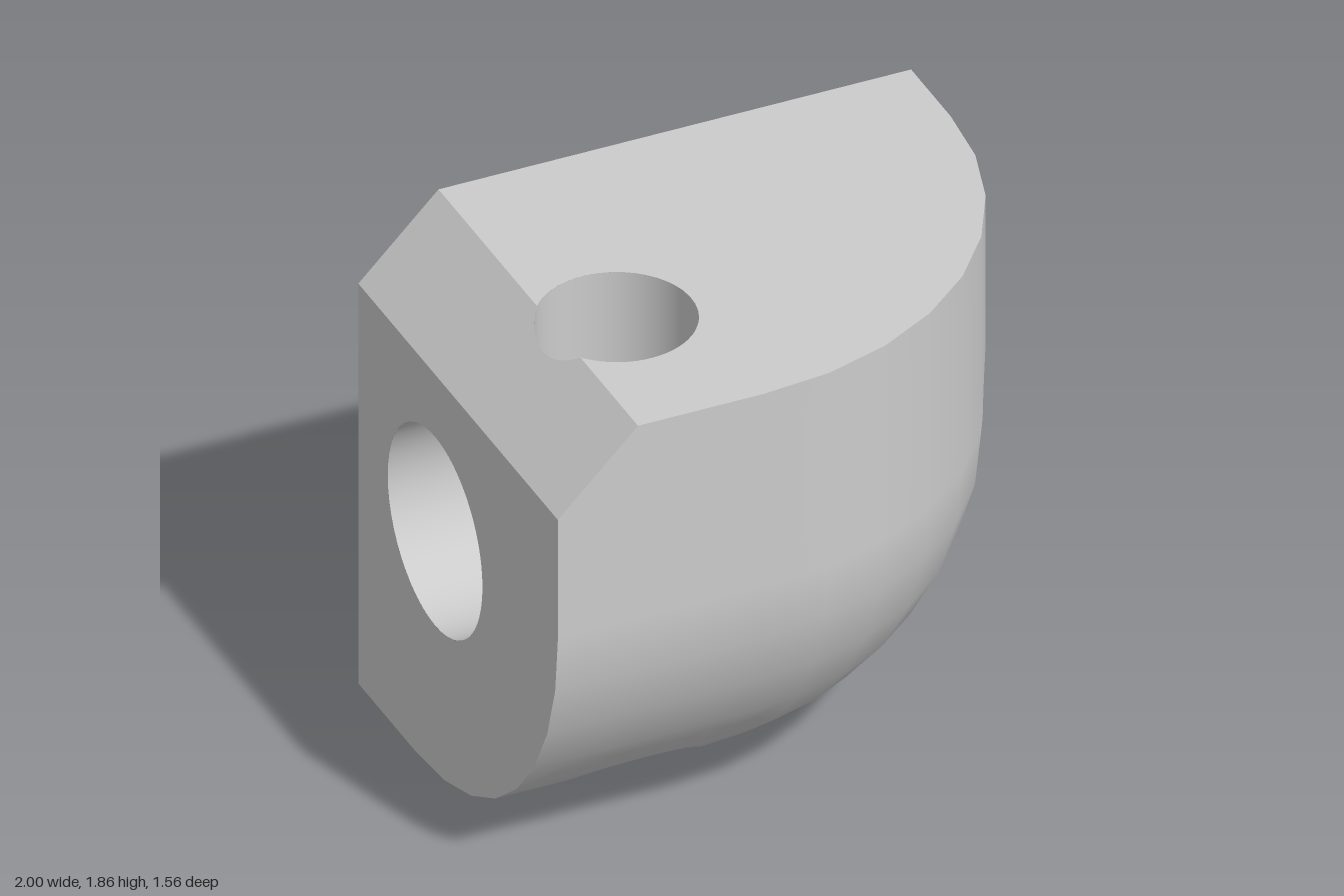
import * as THREE from 'three';

const TOP = 1.86, W = 1, D = 0.78;          // height, half width, half depth
const CORNER = 1.25, FILLET = 1.1, STEPS = 8; // plan corner radius, bottom fillet radius
const CHAMFER = 0.29, FINE = 0.05;

// A vertex is [x, y, z, nx, ny, nz]; a triangle is three vertices.
const lerp = (a, b, t) => a.map((v, i) => v + (b[i] - v) * t);
const gap = (a, b) => Math.hypot(a[0] - b[0], a[1] - b[1], a[2] - b[2]);
const fan = (pts) => pts.slice(2).map((p, i) => [pts[0], pts[i + 1], p]);
const flat = (pts, n) => fan(pts.map((p) => [...p, ...n]));

// Keep the part of each triangle where the distance function is positive
function carve(tris, dist) {
  const out = [];
  const visit = (tri) => {
    const [a, b, c] = tri;
    const sides = [gap(a, b), gap(b, c), gap(c, a)];
    const longest = Math.max(...sides);
    const mid = a.map((v, i) => (v + b[i] + c[i]) / 3);
    const d = dist(mid);
    if (d > longest) return out.push(tri);
    if (d < -longest) return;
    if (longest > FINE) { // halve the longest side near the cut
      const k = sides.indexOf(longest);
      const p = tri[k], q = tri[(k + 1) % 3], r = tri[(k + 2) % 3];
      const m = lerp(p, q, 0.5);
      visit([p, m, r]);
      visit([m, q, r]);
      return;
    }
    const f = tri.map(dist), kept = [];
    tri.forEach((p, i) => {
      const j = (i + 1) % 3;
      if (f[i] >= 0) kept.push(p);
      if ((f[i] >= 0) !== (f[j] >= 0)) kept.push(lerp(p, tri[j], f[i] / (f[i] - f[j])));
    });
    if (kept.length > 2) out.push(...fan(kept));
  };
  tris.forEach(visit);
  return out;
}

// Triangles to a mesh, each wound to agree with its normals
function toMesh(name, tris, material) {
  const pos = [], nor = [];
  const [u, v] = [new THREE.Vector3(), new THREE.Vector3()];
  for (const [a, b, c] of tris) {
    u.set(b[0] - a[0], b[1] - a[1], b[2] - a[2]);
    v.set(c[0] - a[0], c[1] - a[1], c[2] - a[2]);
    u.cross(v);
    const facing = u.x * (a[3] + b[3] + c[3]) + u.y * (a[4] + b[4] + c[4]) + u.z * (a[5] + b[5] + c[5]);
    for (const p of facing < 0 ? [a, c, b] : [a, b, c]) {
      pos.push(p[0], p[1], p[2]);
      nor.push(p[3], p[4], p[5]);
    }
  }
  const g = new THREE.BufferGeometry();
  g.setAttribute('position', new THREE.Float32BufferAttribute(pos, 3));
  g.setAttribute('normal', new THREE.Float32BufferAttribute(nor, 3));
  const mesh = new THREE.Mesh(g, material);
  mesh.name = name;
  return mesh;
}

// Plan outline pulled in by d: front edge, rounded corner, right edge
function outline(d) {
  const pts = [{ x: -W, z: D - d, a: Math.PI / 2 }];
  for (let i = 0; i <= STEPS; i++) {
    const a = (1 - i / STEPS) * Math.PI / 2, r = CORNER - d;
    pts.push({ x: W - CORNER + r * Math.cos(a), z: D - CORNER + r * Math.sin(a), a });
  }
  pts.push({ x: W - d, z: -D, a: 0 });
  return pts;
}

// Side profile: straight wall, then the large bottom fillet
function profile() {
  const rows = [{ d: 0, y: TOP, t: 0 }];
  for (let i = 0; i <= STEPS; i++) {
    const t = i / STEPS * Math.PI / 2;
    rows.push({ d: FILLET * (1 - Math.cos(t)), y: FILLET * (1 - Math.sin(t)), t });
  }
  return rows;
}

// Inner wall of a round hole; place(u, v, w) maps cross-section and length to x, y, z
function bore(place, cu, cv, r, from, to, sides = 48) {
  const at = (i, w) => {
    const a = i / sides * Math.PI * 2, c = Math.cos(a), s = Math.sin(a);
    return [...place(cu + r * c, cv + r * s, w), ...place(-c, -s, 0)];
  };
  const tris = [];
  for (let i = 0; i < sides; i++) {
    tris.push(...fan([at(i, from), at(i + 1, from), at(i + 1, to), at(i, to)]));
  }
  return tris;
}

export function createModel() {
  const group = new THREE.Group();
  const material = new THREE.MeshStandardMaterial({ color: 0xcccccc });
  const rows = profile(), rim = outline(0), low = TOP - CHAMFER, cut = -W + CHAMFER;

  // Front and right wall swept round the corner and under the body
  const grid = rows.map(({ d, y, t }) => outline(d).map(({ x, z, a }) =>
    [x, y, z, Math.cos(a) * Math.cos(t), -Math.sin(t), Math.sin(a) * Math.cos(t)]));
  const wall = [];
  for (let j = 0; j + 1 < grid.length; j++) {
    for (let i = 0; i + 1 < grid[j].length; i++) {
      wall.push(...fan([grid[j][i], grid[j][i + 1], grid[j + 1][i + 1], grid[j + 1][i]]));
    }
  }

  // Flat faces
  const k = Math.SQRT1_2;
  const faces = {
    topFace: flat([[cut, TOP, D], ...rim.slice(1).map((p) => [p.x, TOP, p.z]), [cut, TOP, -D]], [0, 1, 0]),
    chamferFace: flat([[cut, TOP, D], [cut, TOP, -D], [-W, low, -D], [-W, low, D]], [-k, k, 0]),
    leftSideFace: flat([[-W, low, -D], [-W, low, D], ...rows.slice(1).map((p) => [-W, p.y, D - p.d]), [-W, 0, -D]], [-1, 0, 0]),
    backFace: flat([[cut, TOP, -D], ...rows.map((p) => [W - p.d, p.y, -D]), [-W, 0, -D], [-W, low, -D]], [0, 0, -1]),
    bottomFace: flat([...outline(FILLET).map((p) => [p.x, 0, p.z]), [-W, 0, -D]], [0, -1, 0]),
  };

  // Distance inside the convex body, from the planes of its faces
  const planes = [...wall, ...Object.values(faces).flat()].map((tri) => {
    const [a, b, c] = tri.map((p) => new THREE.Vector3(p[0], p[1], p[2]));
    const plane = new THREE.Plane().setFromCoplanarPoints(a, b, c);
    if (plane.normal.dot(new THREE.Vector3(...tri[0].slice(3))) > 0) plane.negate();
    return plane;
  });
  const point = new THREE.Vector3();
  const inside = (p) => {
    point.set(p[0], p[1], p[2]);
    return planes.reduce((m, pl) => Math.min(m, pl.distanceToPoint(point)), Infinity);
  };
  const belowChamfer = (p) => (p[0] + W + low - p[1]) * k;

  // Upright hole and cross hole, which meet inside
  const upright = { x: -0.5, z: 0.16, r: 0.27 }, cross = { y: 0.955, z: -0.18, r: 0.37 };
  const clearUpright = (p) => Math.hypot(p[0] - upright.x, p[2] - upright.z) - upright.r;
  const clearCross = (p) => Math.hypot(p[1] - cross.y, p[2] - cross.z) - cross.r;
  const drill = (tris) => carve(carve(tris, clearUpright), clearCross);

  group.add(toMesh('roundedWall', drill(carve(wall, belowChamfer)), material));
  for (const [name, tris] of Object.entries(faces)) group.add(toMesh(name, drill(tris), material));

  const uprightBore = bore((u, v, w) => [u, w, v], upright.x, upright.z, upright.r, -0.1, TOP + 0.1);
  const crossBore = bore((u, v, w) => [w, u, v], cross.y, cross.z, cross.r, -W - 0.1, W + 0.1);
  group.add(toMesh('uprightHole', carve(carve(uprightBore, inside), clearCross), material));
  group.add(toMesh('crossHole', carve(carve(crossBore, inside), clearUpright), material));
  return group;
}
